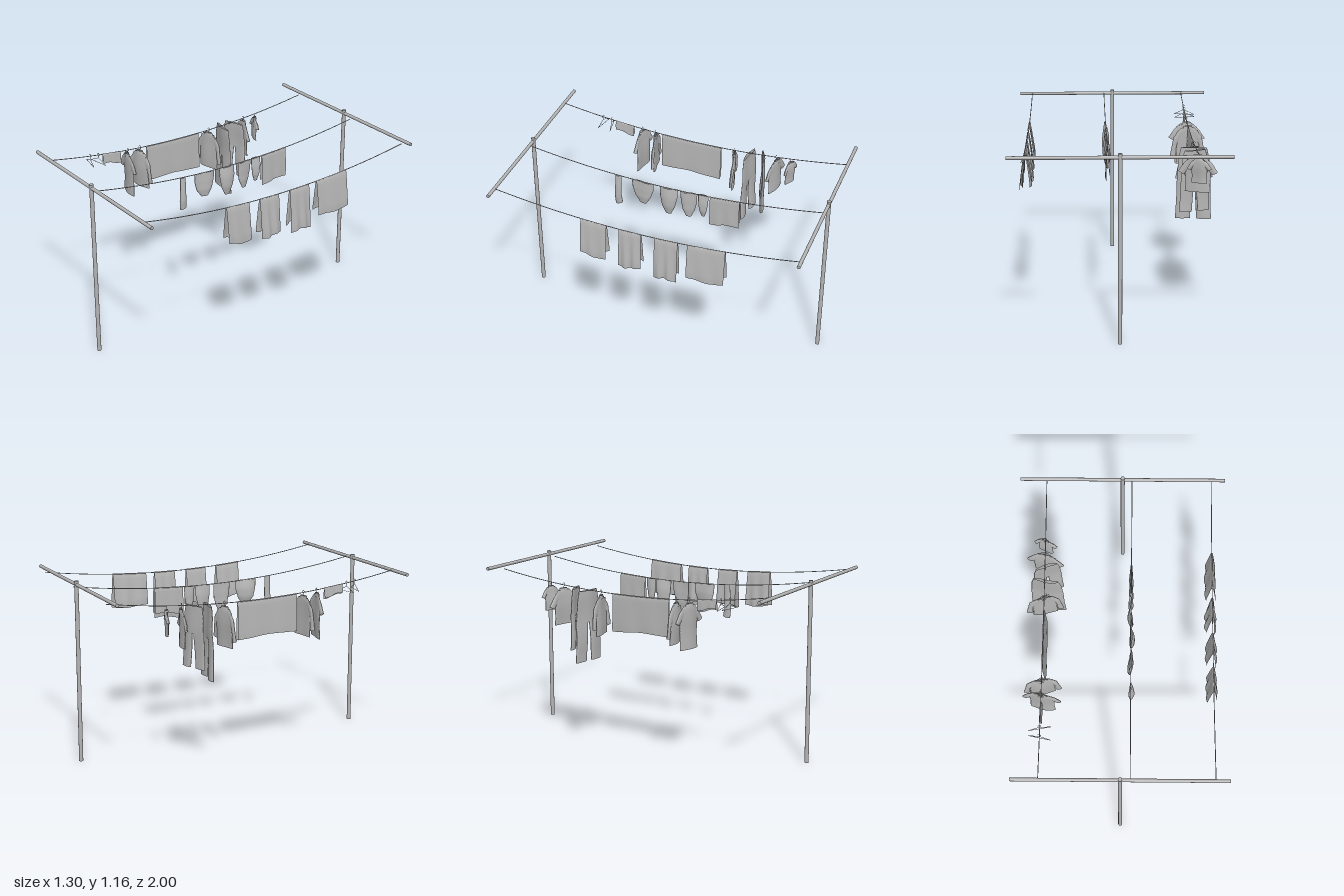
import * as THREE from 'three';

const metal = new THREE.MeshStandardMaterial({ color: 0xb4b4b4 });
metal.name = 'grey';
const cloth = metal;
cloth.side = THREE.DoubleSide;

const END = 0.987;
// Height of the sagging lines at a given z
const lineY = (z) => 1.037 + 0.0872 * (z + 0.08) ** 2;

function add(parent, geometry, name) {
  const mesh = new THREE.Mesh(geometry, metal);
  mesh.name = name;
  parent.add(mesh);
  return mesh;
}

// Surface from a grid rule fn(u, v) -> [x, y, z]
function grid(nu, nv, fn) {
  const pos = [], idx = [];
  for (let i = 0; i <= nu; i++)
    for (let j = 0; j <= nv; j++) pos.push(...fn(i / nu, j / nv));
  for (let i = 0; i < nu; i++)
    for (let j = 0; j < nv; j++) {
      const a = i * (nv + 1) + j, b = a + nv + 1;
      idx.push(a, b, a + 1, b, b + 1, a + 1);
    }
  const g = new THREE.BufferGeometry();
  g.setAttribute('position', new THREE.Float32BufferAttribute(pos, 3));
  g.setIndex(idx);
  g.computeVertexNormals();
  return g;
}

// Flattened cloth tube; each section is [x1, y1, x2, y2, half thickness]
function clothTube(sections, seed, ripple = 0.004) {
  const n = sections.length - 1;
  return grid(n * 4, 20, (u, v) => {
    const k = Math.min(Math.floor(u * n), n - 1), t = u * n - k;
    const s = sections[k].map((p, i) => p + (sections[k + 1][i] - p) * t);
    const a = v * Math.PI * 2, c = Math.cos(a) / 2;
    const x = (s[0] + s[2]) / 2 + (s[2] - s[0]) * c;
    const y = (s[1] + s[3]) / 2 + (s[3] - s[1]) * c;
    const fold = ripple * (Math.sin(38 * x + seed) + 0.6 * Math.sin(22 * y + 2 * seed));
    return [x, y, s[4] * Math.sin(a) + fold];
  });
}

const mirror = (sections) => sections.map(([a, b, c, d, e]) => [-a, b, -c, d, e]);

// Cloth folded over a line, hanging down on both sides
function drape(x0, z0, z1, front, back, spread, seed) {
  const span = z1 - z0;
  return grid(18, 24, (u, v) => {
    const s = v * 2 - 1, d = Math.abs(s);
    const z = z0 + span * u;
    const pinch = 0.62 + 0.38 * Math.sin(Math.PI * u) ** 2 - 0.3 * Math.exp(-(((u - 0.5) / 0.16) ** 2));
    const open = spread * pinch * Math.pow(d, 0.85) * (d > 0.85 ? 1.6 - 0.7 * d : 1);
    const wave = 0.1 * spread * d * Math.sin(u * 14 + seed + s);
    const drop = (s > 0 ? front : back) * d + 0.008 * d * Math.sin(u * 5 + seed);
    return [x0 + Math.sign(s) * (open + 0.003) + wave, lineY(z) + 0.004 - drop, z];
  });
}

function hanger(parent) {
  const g = new THREE.Group();
  g.name = 'hanger';
  const p = [[-0.07, 0], [0.07, 0], [0, 0.032]].map(([x, y]) => new THREE.Vector3(x, y, 0));
  const frame = new THREE.CurvePath();
  p.forEach((a, i) => frame.add(new THREE.LineCurve3(a, p[(i + 1) % 3])));
  add(g, new THREE.TubeGeometry(frame, 48, 0.0016, 5), 'hangerFrame');
  const hook = new THREE.CatmullRomCurve3(
    [[0, 0.032], [0.001, 0.042], [0.011, 0.053], [0.004, 0.066], [-0.009, 0.058]]
      .map(([x, y]) => new THREE.Vector3(x, y, 0)));
  add(g, new THREE.TubeGeometry(hook, 20, 0.0016, 5), 'hangerHook');
  parent.add(g);
  return g;
}

function place(root, name, x, y, z, turn) {
  const g = new THREE.Group();
  g.name = name;
  g.position.set(x, y, z);
  g.rotation.y = turn;
  root.add(g);
  return g;
}

function shirt(root, z, turn, length, longSleeves, seed, size = 1) {
  const g = place(root, 'shirt', -0.488, lineY(z) - 0.03, z, turn);
  const body = [[0.045, 0, 0.008], [0.075, -0.03, 0.01], [0.08, -0.1, 0.012], [0.076, -0.18, 0.011], [0.08, -length, 0.01]];
  add(g, clothTube(body.map(([w, y, t]) => [-w, y, w, y, t]), seed), 'shirtBody');
  const sleeve = longSleeves
    ? [[0.05, -0.08, 0.045, 0, 0.007], [0.076, -0.12, 0.095, -0.06, 0.01], [0.08, -0.2, 0.12, -0.19, 0.009]]
    : [[0.05, -0.08, 0.045, 0, 0.007], [0.075, -0.1, 0.085, -0.04, 0.01], [0.086, -0.115, 0.122, -0.095, 0.009]];
  add(g, clothTube(sleeve, seed), 'leftSleeve');
  add(g, clothTube(mirror(sleeve), seed), 'rightSleeve');
  add(g, clothTube([[-0.028, 0.012, 0.028, 0.012, 0.01], [-0.036, -0.012, 0.036, -0.012, 0.013]], seed), 'collar');
  g.scale.set(size, size, 1);
  const h = hanger(g);
  h.position.y = -0.022;
}

function trousers(root, name, z, turn, length, wide, seed) {
  const g = place(root, name, -0.477, lineY(z) - 0.004, z, turn);
  const k = length * 0.45;
  add(g, clothTube([[0.08, 0], [0.095, 0.3], [0.104, 1]].map(([w, t]) =>
    [-w * wide, -t * k, w * wide, -t * k, 0.009]), seed), 'waist');
  const leg = [[0.002, -k + 0.02, 0.104 * wide, -k + 0.02, 0.008],
    [0.012, -k - (length - k) / 2, 0.107 * wide, -k - (length - k) / 2, 0.012],
    [0.02, -length, 0.113 * wide, -length, 0.012]];
  add(g, clothTube(leg, seed), 'leftLeg');
  add(g, clothTube(mirror(leg), seed), 'rightLeg');
}

function briefs(root, z, width, drop, seed) {
  const g = place(root, 'briefs', 0.06, lineY(z), z, Math.PI / 2);
  const w = width / 2;
  add(g, clothTube([[-w, 0, w, 0, 0.005], [-w * 0.95, -drop * 0.35, w * 0.95, -drop * 0.35, 0.014],
    [-w * 0.75, -drop * 0.7, w * 0.7, -drop * 0.7, 0.016], [-w * 0.3, -drop, w * 0.3, -drop, 0.006]], seed, 0.006), 'briefsCloth');
}

export function createModel() {
  const root = new THREE.Group();
  root.name = 'clothesline';

  // Posts and crossbars
  for (const z of [-END, END]) {
    const post = add(root, new THREE.CylinderGeometry(0.013, 0.013, 1.157, 16), 'post');
    post.position.set(0, 0.5785, z);
    const bar = add(root, new THREE.CylinderGeometry(0.011, 0.011, 1.305, 16), 'crossbar');
    bar.rotation.z = Math.PI / 2;
    bar.position.set(0, 1.134, z);
  }

  // Sagging lines
  for (const x of [-0.485, 0.06, 0.566]) {
    const pts = [];
    for (let i = 0; i <= 16; i++) {
      const z = -END + (2 * END * i) / 16;
      pts.push(new THREE.Vector3(x, lineY(z), z));
    }
    add(root, new THREE.TubeGeometry(new THREE.CatmullRomCurve3(pts), 48, 0.0025, 6), 'line');
  }

  // First line: hangers, shirts, sheet and trousers
  for (const [z, turn] of [[0.643, 0.18], [0.703, -0.2]])
    hanger(place(root, 'emptyHanger', -0.488, lineY(z) - 0.053, z, turn));
  add(root, drape(-0.485, 0.48, 0.612, 0.07, 0.06, 0.009, 1), 'smallCloth');
  shirt(root, 0.422, -0.17, 0.27, false, 1);
  shirt(root, 0.33, 0.125, 0.24, true, 2);
  add(root, drape(-0.485, -0.132, 0.28, 0.24, 0.235, 0.016, 2), 'sheet');
  shirt(root, -0.22, 0.17, 0.24, true, 3);
  trousers(root, 'trousers', -0.327, -0.15, 0.455, 1, 1);
  trousers(root, 'shortTrousers', -0.425, 0.3, 0.385, 0.88, 4);
  shirt(root, -0.507, -0.23, 0.22, false, 5);
  shirt(root, -0.605, -0.33, 0.24, false, 6, 0.62);

  // Middle line: sock, briefs and a small towel
  const sock = place(root, 'sock', 0.06, lineY(0.37), 0.37, Math.PI / 2);
  add(sock, clothTube([[-0.02, 0, 0.02, 0, 0.006], [-0.022, -0.08, 0.02, -0.08, 0.014],
    [-0.025, -0.16, 0.018, -0.15, 0.019], [-0.022, -0.215, 0.025, -0.205, 0.014]], 2), 'sockCloth');
  [[0.205, 0.15, 0.16], [0.03, 0.12, 0.19], [-0.105, 0.11, 0.18], [-0.2, 0.07, 0.16]]
    .forEach(([z, w, d], i) => briefs(root, z, w, d, i * 1.7));
  add(root, drape(0.06, -0.44, -0.245, 0.2, 0.17, 0.014, 3), 'handTowel');

  // Last line: folded towels
  [[-0.52, -0.28, 0.235, 0.22], [-0.22, -0.07, 0.28, 0.25], [0.015, 0.16, 0.255, 0.235], [0.24, 0.41, 0.24, 0.225]]
    .forEach(([a, b, f, k], i) => add(root, drape(0.567, a, b, f, k, 0.046, i * 2), 'towel'));

  return root;
}
